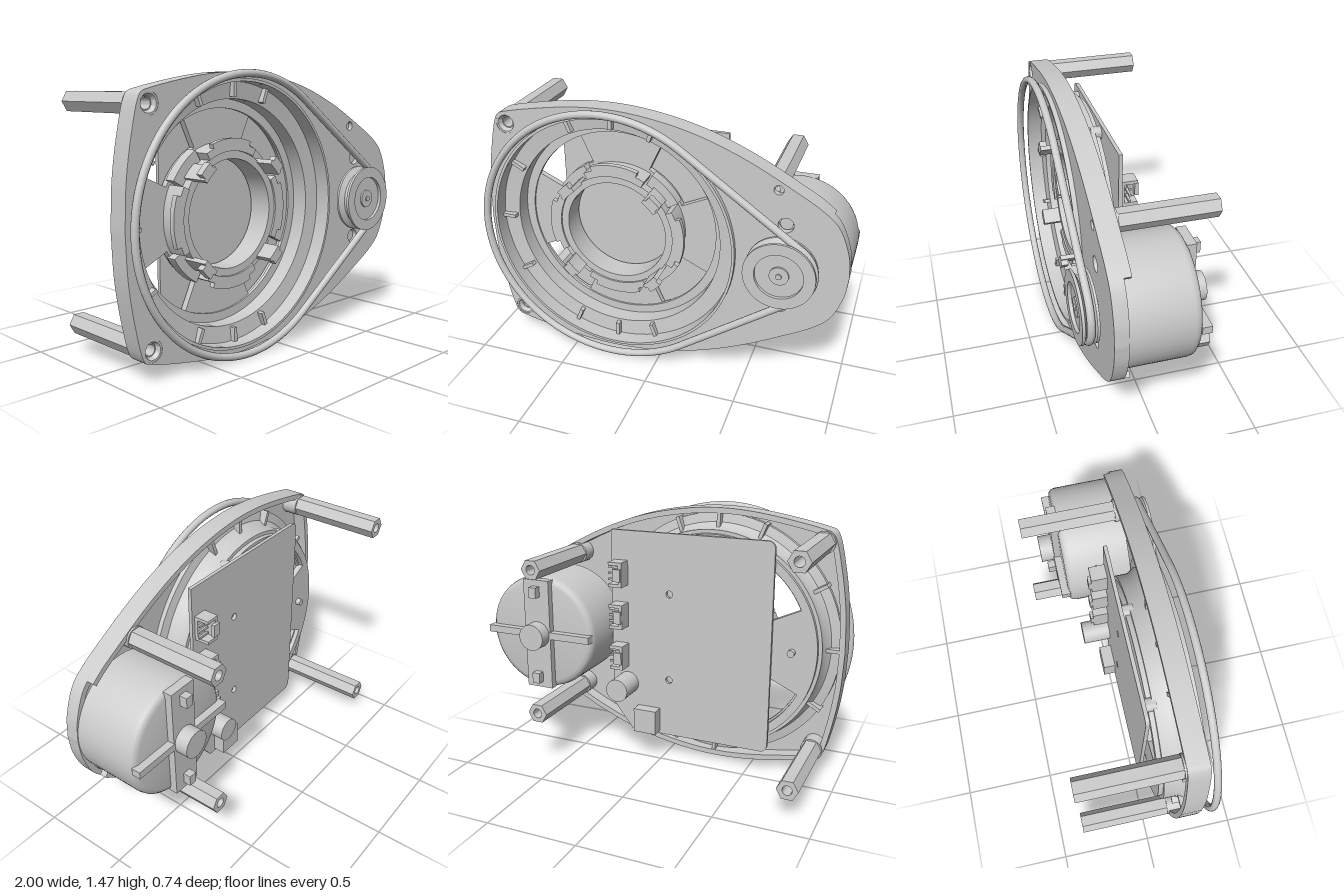
import * as THREE from 'three';
import { toCreasedNormals } from 'three/addons/utils/BufferGeometryUtils.js';

const MAT = new THREE.MeshStandardMaterial({ color: 0xcccccc });
const CX = -0.27, MX = 0.667;      // centres of the big bowl and of the motor
const V = (x, y) => new THREE.Vector2(x, y);

export function createModel() {
  const root = new THREE.Group();
  root.position.y = 0.737;
  const model = new THREE.Group();
  model.add(root);

  const add = (name, geo, x = 0, y = 0, z = 0, parent = root) => {
    const mesh = new THREE.Mesh(geo, MAT);
    mesh.name = name;
    mesh.position.set(x, y, z);
    parent.add(mesh);
    return mesh;
  };
  const crease = (g) => toCreasedNormals(g, 0.6);
  // Shape pushed from z0 to z1
  const slab = (shape, z0, z1) => crease(new THREE.ExtrudeGeometry(shape,
    { depth: z1 - z0, bevelEnabled: false, curveSegments: 48 }).translate(0, 0, z0));
  // Counter-clockwise (radius, z) profile turned about the z axis
  const turned = (pts, seg = 64) =>
    crease(new THREE.LatheGeometry(pts.map((p) => V(p[0], p[1])), seg).rotateX(Math.PI / 2));
  const disc = (r, z0, z1, seg = 32) => turned([[0, z0], [r, z0], [r, z1], [0, z1]], seg);
  const ring = (r0, r1, z0, z1, seg = 32) =>
    turned([[r0, z0], [r1, z0], [r1, z1], [r0, z1], [r0, z0]], seg);
  const box = (w, h, d) => new THREE.BoxGeometry(w, h, d);
  const rad = THREE.MathUtils.degToRad;
  const sector = (Kind, r0, r1, a0, a1, x = 0) => {
    const s = new Kind();
    s.absarc(x, 0, r1, rad(a0), rad(a1), false);
    s.absarc(x, 0, r0, rad(a1), rad(a0), true);
    s.closePath();
    return s;
  };
  const hole = (shape, x, y, r) => shape.holes.push(new THREE.Path().absarc(x, y, r, 0, Math.PI * 2, true));

  // Egg-shaped outline: upper half as a spline, lower half mirrored
  const half = new THREE.CatmullRomCurve3([
    [1, 0], [0.985, 0.12], [0.925, 0.265], [0.85, 0.335], [0.7, 0.425], [0.45, 0.555], [0.2, 0.65],
    [-0.05, 0.704], [-0.27, 0.722], [-0.5, 0.708], [-0.85, 0.643], [-0.885, 0.63], [-0.905, 0.6],
    [-0.945, 0.44], [-0.978, 0.23], [-0.99, 0],
  ].map(([x, y]) => new THREE.Vector3(x, y, 0)), false, 'centripetal').getPoints(120).map((p) => V(p.x, p.y));
  const outline = [...half, ...half.slice(1, -1).reverse().map((p) => V(p.x, -p.y))];
  const n = outline.length;
  const inset = outline.map((p, i) => {
    const t = outline[(i + 1) % n].clone().sub(outline[(i + n - 1) % n]).normalize();
    return V(p.x - t.y * 0.03, p.y + t.x * 0.03);
  });

  // Housing: front plate with openings
  const plate = new THREE.Shape(outline);
  hole(plate, CX, 0, 0.68);
  hole(plate, MX, 0, 0.06);
  hole(plate, 0.62, 0.42, 0.025);
  for (const s of [1, -1]) {
    hole(plate, -0.845, s * 0.577, 0.055);
    hole(plate, MX, s * 0.235, 0.04);
  }
  add('frontPlate', slab(plate, 0.225, 0.26));

  // Housing rim, with its back part cut away around the motor
  const rim = new THREE.Shape(outline);
  rim.holes.push(new THREE.Path(inset));
  add('rim', slab(rim, 0.188, 0.226));
  const keep = outline.map((p, i) => i).filter((i) => outline[i].x < 0.9);
  add('backRim', slab(new THREE.Shape([
    ...keep.map((i) => outline[i]), ...keep.map((i) => inset[i]).reverse()]), 0.15, 0.19));

  // Stepped bowl behind the round opening
  add('bowl', turned([[0.675, 0.285], [0.675, 0.2], [0.588, 0.19], [0.588, 0.1], [0.54, 0.1], [0.54, 0.08],
    [0.615, 0.08], [0.615, 0.15], [0.64, 0.19], [0.69, 0.2], [0.69, 0.285], [0.675, 0.285]].reverse()
    .reverse(), 96), CX).material = Object.assign(MAT.clone(), { side: THREE.DoubleSide });

  // Spoked floor with four windows
  const floor = new THREE.Shape().absarc(CX, 0, 0.595, 0, Math.PI * 2);
  hole(floor, CX, 0, 0.285);
  for (let k = 0; k < 4; k++) floor.holes.push(sector(THREE.Path, 0.38, 0.55, 25 + k * 90, 65 + k * 90, CX));
  add('spokedFloor', slab(floor, 0.055, 0.09));

  // Hub: inner collar, castellated outer collar and snap clips
  const hub = new THREE.Group();
  hub.name = 'hub';
  hub.position.x = CX;
  root.add(hub);
  add('hubCollar', ring(0.285, 0.325, 0.055, 0.19, 64), 0, 0, 0, hub);
  for (let k = 0; k < 4; k++) {
    const a = k * 90;
    add('outerCollar', slab(sector(THREE.Shape, 0.325, 0.365, a - 28, a + 28), 0.08, 0.2), 0, 0, 0, hub);
    add('collarFlange', slab(sector(THREE.Shape, 0.325, 0.39, a - 20, a + 20), 0.17, 0.2), 0, 0, 0, hub);
    add('snapClip', slab(sector(THREE.Shape, 0.315, 0.34, a + 37, a + 53), 0.08, 0.29), 0, 0, 0, hub);
    add('clipHook', slab(sector(THREE.Shape, 0.335, 0.37, a + 39, a + 51), 0.25, 0.29), 0, 0, 0, hub);
    add('clipBase', slab(sector(THREE.Shape, 0.32, 0.39, a + 30, a + 60), 0.08, 0.14), 0, 0, 0, hub);
  }

  // Small ribs between bowl and rim
  for (const a of [70, 90, 112, 150, 180, 210, 248, 270, 290]) {
    const rib = add('rib', box(0.1, 0.02, 0.07), CX + 0.65 * Math.cos(rad(a)), 0.65 * Math.sin(rad(a)), 0.19);
    rib.rotation.z = rad(a);
  }

  // Hexagonal standoffs with bosses, mirrored top and bottom
  const hex = new THREE.Shape(Array.from({ length: 6 }, (_, i) =>
    V(0.058 * Math.cos(i * Math.PI / 3), 0.058 * Math.sin(i * Math.PI / 3))));
  hole(hex, 0, 0, 0.026);
  for (const s of [1, -1]) {
    for (const [x, y] of [[-0.845, 0.577], [0.593, 0.41]]) {
      add('standoff', slab(hex, -0.365, 0.15), x, s * y);
      add('standoffBoss', ring(0.028, 0.06, 0.14, 0.235), x, s * y);
    }
    add('countersink', turned([[0.028, 0.225], [0.055, 0.225], [0.055, 0.258], [0.045, 0.258], [0.028, 0.225]], 32),
      -0.845, s * 0.577);
    add('motorScrew', disc(0.033, 0.18, 0.24, 24), MX, s * 0.235);
    add('boardPost', disc(0.035, 0.04, 0.1, 24), -0.04, s * 0.54);
    add('boardPost', disc(0.035, 0.04, 0.1, 24), -0.52, s * 0.53);
  }
  add('floorScrew', disc(0.02, 0.025, 0.06, 16), -0.73, 0);

  // Motor can with back bracket, rib, boss and terminals
  add('motorCan', turned([[0, -0.17], [0.29, -0.17], [0.31, -0.165], [0.323, -0.152], [0.328, -0.13],
    [0.328, 0.19], [0, 0.19]], 72), MX);
  add('motorBracket', box(0.16, 0.63, 0.05), MX, 0, -0.183);
  add('motorRib', box(0.65, 0.04, 0.05), MX, 0, -0.186);
  add('motorBoss', disc(0.075, -0.282, -0.16, 40), MX);
  for (const s of [1, -1]) add('terminal', box(0.045, 0.06, 0.05), MX, s * 0.25, -0.225);
  add('motorShaft', disc(0.05, 0.18, 0.29), MX);

  // Grooved pulley
  add('pulley', turned([[0, 0.285], [0.185, 0.285], [0.185, 0.298], [0.152, 0.315], [0.152, 0.34],
    [0.185, 0.355], [0.185, 0.37], [0.125, 0.37], [0.125, 0.352], [0.05, 0.352], [0.05, 0.362],
    [0.015, 0.362], [0.015, 0.37], [0, 0.37]]), MX);

  // Round belt along the common tangents of bowl and pulley
  const R = 0.714, r = 0.172, phi = Math.acos((R - r) / (MX - CX));
  const path = new THREE.CurvePath();
  const P = (x, rr, a) => new THREE.Vector3(x + rr * Math.cos(a), rr * Math.sin(a), 0.325);
  const arc = (x, rr, a0, a1, count) => Array.from({ length: count + 1 }, (_, i) => P(x, rr, a0 + (a1 - a0) * i / count));
  const loop = [...arc(CX, R, phi, Math.PI * 2 - phi, 72), ...arc(MX, r, -phi, phi, 24)];
  loop.forEach((p, i) => path.add(new THREE.LineCurve3(p, loop[(i + 1) % loop.length])));
  add('belt', new THREE.TubeGeometry(path, 320, 0.02, 12, true));

  // Circuit board with rounded and clipped corners
  const board = new THREE.Shape();
  board.moveTo(-0.585, -0.587);
  board.lineTo(0.19, -0.587);
  board.lineTo(0.31, -0.43);
  board.lineTo(0.31, 0.587);
  board.lineTo(-0.585, 0.587);
  board.absarc(-0.585, 0.547, 0.04, Math.PI / 2, Math.PI, false);
  board.absarc(-0.585, -0.547, 0.04, Math.PI, Math.PI * 1.5, false);
  for (const s of [1, -1]) hole(board, -0.04, s * 0.25, 0.02);
  add('circuitBoard', slab(board, 0.025, 0.045));

  // Board components
  add('capacitor', disc(0.065, -0.13, 0.03), 0.215, -0.3);
  add('relay', box(0.135, 0.14, 0.07), 0.083, -0.5, -0.008);
  for (const y of [0.35, 0.11, -0.13]) {
    const plug = new THREE.Group();
    plug.name = 'connector';
    plug.position.set(0.25, y, 0);
    root.add(plug);
    add('connectorBase', box(0.08, 0.14, 0.02), 0, 0, 0.018, plug);
    add('connectorBack', box(0.02, 0.14, 0.08), -0.03, 0, -0.02, plug);
    for (const s of [1, -1]) add('connectorSide', box(0.08, 0.018, 0.08), 0, s * 0.061, -0.02, plug);
    add('connectorTop', box(0.045, 0.07, 0.02), -0.015, 0, -0.065, plug);
    for (let k = -1; k <= 1; k++) add('pin', box(0.07, 0.012, 0.012), 0.025, k * 0.035, -0.015, plug);
  }
  return model;
}
